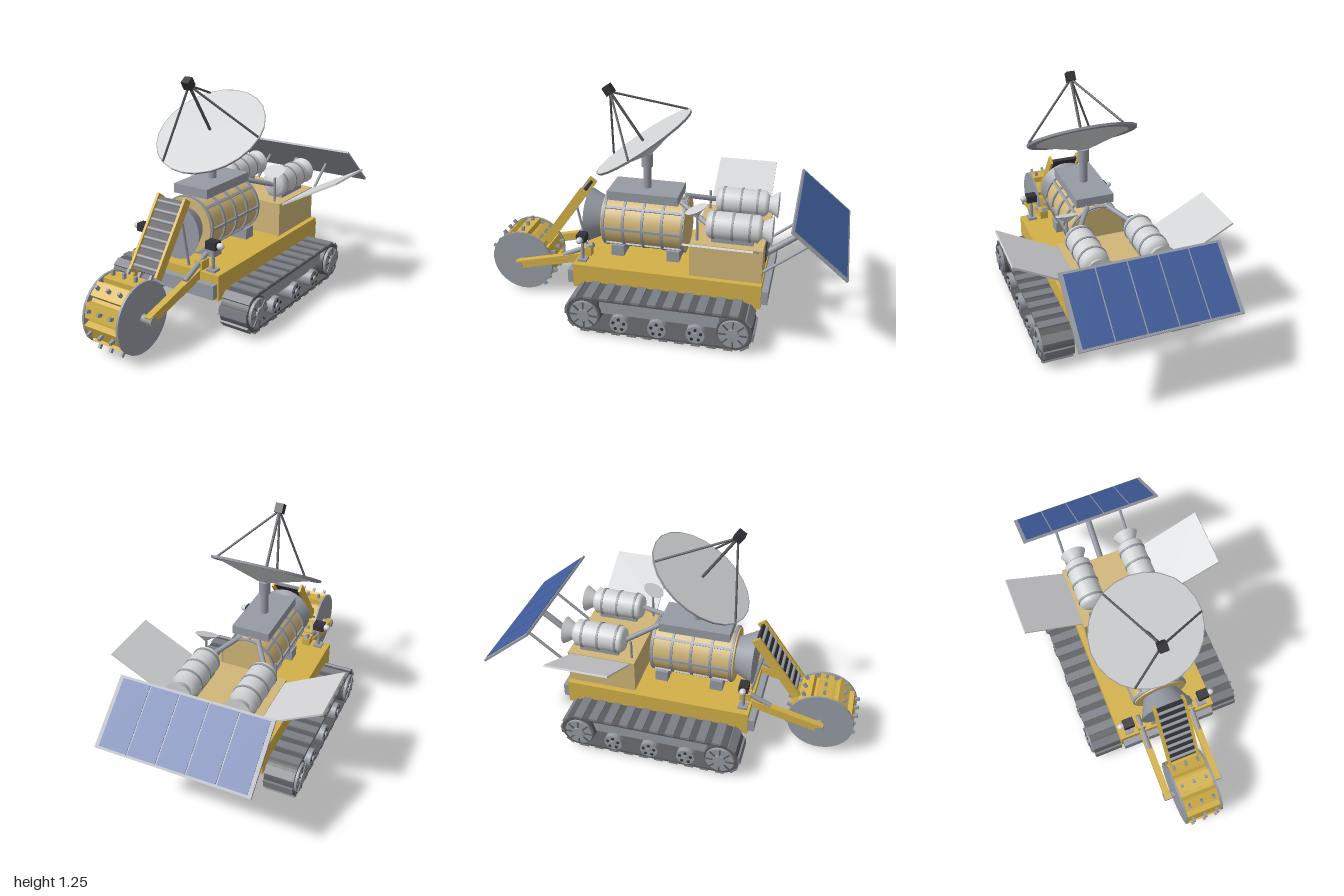
import * as THREE from 'three';

const mat = (name, color) => Object.assign(new THREE.MeshStandardMaterial({ color }), { name });
const V = (x, y, z) => new THREE.Vector3(x, y, z);

export function createModel() {
  const yellow = mat('yellow paint', 0xd2b048), tan = mat('tan paint', 0xd0b678);
  const steel = mat('steel', 0x969aa3), light = mat('light metal', 0xd2d3d5);
  const dark = mat('dark rubber', 0x5a5b5e), black = mat('black', 0x333338);
  const blue = mat('solar blue', 0x3f5c9a), pad = mat('track pad', 0x7b7e85);
  const root = new THREE.Group();
  root.name = 'miningRover';

  const add = (name, geo, m, p = [0, 0, 0], r = [0, 0, 0], parent = root) => {
    const mesh = new THREE.Mesh(geo, m);
    mesh.name = name;
    mesh.position.set(...p);
    mesh.rotation.set(...r);
    parent.add(mesh);
    return mesh;
  };
  const box = (name, m, size, p, r, parent) => add(name, new THREE.BoxGeometry(...size), m, p, r, parent);
  const cyl = (name, m, rt, rb, h, p, r, n = 24, parent) =>
    add(name, new THREE.CylinderGeometry(rt, rb, h, n), m, p, r, parent);
  const X = [0, 0, -Math.PI / 2], Z = [Math.PI / 2, 0, 0];
  // round bar between two points
  const rod = (name, m, a, b, r, n = 10) => {
    const d = b.clone().sub(a);
    const mesh = cyl(name, m, r, r, d.length(), a.clone().lerp(b, 0.5).toArray(), undefined, n);
    mesh.quaternion.setFromUnitVectors(V(0, 1, 0), d.normalize());
    return mesh;
  };
  // square beam in a plane of constant x, between two [y, z] points
  const beam = (name, m, x, [y0, z0], [y1, z1], w, h) =>
    box(name, m, [w, h, Math.hypot(y1 - y0, z1 - z0)], [x, (y0 + y1) / 2, (z0 + z1) / 2],
      [-Math.atan2(y1 - y0, z1 - z0), 0, 0]);

  // chassis
  box('chassis', yellow, [0.56, 0.135, 1.02], [0, 0.255, -0.07]);
  box('frontBumper', steel, [0.54, 0.075, 0.035], [0, 0.24, 0.457]);
  box('rearBumper', steel, [0.53, 0.075, 0.035], [0, 0.245, -0.597]);

  // tracks
  const zf = 0.33, zb = -0.465, cy = 0.125, L = zf - zb;
  const loop = (P, r) => {
    P.absarc(zf, cy, r, -Math.PI / 2, Math.PI / 2, false);
    P.absarc(zb, cy, r, Math.PI / 2, Math.PI * 1.5, false);
    P.closePath();
    return P;
  };
  const beltShape = loop(new THREE.Shape(), 0.1);
  beltShape.holes.push(loop(new THREE.Path(), 0.087));
  const beltGeo = new THREE.ExtrudeGeometry(beltShape, { depth: 0.16, bevelEnabled: false, curveSegments: 14 });
  beltGeo.rotateY(-Math.PI / 2).translate(0.08, 0, 0);
  const R = 0.102, arc = Math.PI * R, total = 2 * (L + arc), pads = 26;
  const padGeo = new THREE.BoxGeometry(0.162, 0.012, 0.048);
  for (const s of [1, -1]) {
    const x = s * 0.36;
    add('trackBelt', beltGeo, dark, [x, 0, 0]);
    for (let i = 0; i < pads; i++) {
      let d = i * total / pads, z, y, a;
      if (d < L) { z = zb + d; y = cy + R; a = 0; }
      else if (d < L + arc) { a = (d - L) / R; z = zf + R * Math.sin(a); y = cy + R * Math.cos(a); }
      else if (d < 2 * L + arc) { a = Math.PI; z = zf - (d - L - arc); y = cy - R; }
      else { a = Math.PI + (d - 2 * L - arc) / R; z = zb + R * Math.sin(a); y = cy + R * Math.cos(a); }
      add('trackPad', padGeo, pad, [x, y, z], [a, 0, 0]);
    }
    box('trackFrame', steel, [0.11, 0.075, 0.64], [x, 0.165, -0.067]);
    for (const z of [zf, zb]) {
      cyl('driveWheel', dark, 0.088, 0.088, 0.15, [x, cy, z], X);
      cyl('wheelDisc', steel, 0.078, 0.078, 0.18, [x, cy, z], X);
      cyl('hubCap', steel, 0.035, 0.035, 0.2, [x, cy, z], X, 12);
      for (let i = 0; i < 8; i++) {
        const a = i * Math.PI / 4;
        box('wheelSpoke', dark, [0.006, 0.045, 0.007],
          [s * 0.452, cy + 0.053 * Math.cos(a), z + 0.053 * Math.sin(a)], [a, 0, 0]);
      }
    }
    for (const z of [0.14, -0.065, -0.27]) {
      cyl('roadRoller', steel, 0.05, 0.05, 0.165, [x, 0.086, z], X);
      cyl('rollerHub', steel, 0.016, 0.016, 0.18, [x, 0.086, z], X, 10);
      for (let i = 0; i < 5; i++) {
        const a = i * Math.PI * 0.4;
        cyl('rollerHole', black, 0.009, 0.009, 0.004,
          [s * 0.444, 0.086 + 0.031 * Math.cos(a), z + 0.031 * Math.sin(a)], X, 8);
      }
    }
  }

  // bucket wheel
  const wy = 0.205, wz = 0.81;
  cyl('wheelCore', yellow, 0.15, 0.15, 0.2, [0, wy, wz], X, 20);
  for (const s of [1, -1]) cyl('wheelSide', steel, 0.18, 0.18, 0.012, [s * 0.104, wy, wz], X, 30);
  cyl('wheelAxle', steel, 0.022, 0.022, 0.345, [0, wy, wz], X, 16);
  for (let i = 0; i < 10; i++) {
    const g = new THREE.Group();
    g.name = 'bucket';
    g.position.set(0, wy, wz);
    g.rotation.x = i * Math.PI / 5;
    box('bucketShell', yellow, [0.196, 0.032, 0.075], [0, 0.158, 0], [0.1, 0, 0], g);
    for (const x of [-0.07, 0, 0.07]) box('bucketTooth', steel, [0.014, 0.035, 0.016], [x, 0.183, 0], undefined, g);
    root.add(g);
  }

  // boom arms, hydraulic rams and conveyor
  for (const s of [1, -1]) {
    beam('boomArm', yellow, s * 0.15, [0.205, 0.825], [0.315, 0.39], 0.036, 0.046);
    box('boomBracket', yellow, [0.045, 0.06, 0.06], [s * 0.15, 0.34, 0.4]);
    rod('boomRam', steel, V(s * 0.15, 0.3, 0.54), V(s * 0.15, 0.385, 0.36), 0.014);
    beam('conveyorRail', yellow, s * 0.082, [0.34, 0.665], [0.675, 0.425], 0.014, 0.05);
    rod('conveyorStrut', steel, V(s * 0.085, 0.57, 0.47), V(s * 0.085, 0.33, 0.42), 0.007, 8);
  }
  beam('conveyorBelt', black, 0, [0.35, 0.658], [0.665, 0.432], 0.15, 0.016);
  for (let i = 0; i < 8; i++) {
    const t = 0.06 + i * 0.125;
    rod('conveyorRung', steel, V(-0.073, 0.357 + 0.315 * t, 0.668 - 0.226 * t),
      V(0.073, 0.357 + 0.315 * t, 0.668 - 0.226 * t), 0.009, 8);
  }

  // headlamps
  for (const s of [1, -1]) {
    cyl('lampPost', steel, 0.009, 0.009, 0.13, [s * 0.22, 0.385, 0.4], undefined, 8);
    box('lampBase', steel, [0.05, 0.012, 0.05], [s * 0.22, 0.329, 0.4]);
    box('lampHousing', black, [0.06, 0.042, 0.05], [s * 0.22, 0.463, 0.4]);
    add('lampLens', new THREE.SphereGeometry(0.018, 14, 10), light, [s * 0.264, 0.463, 0.4]).scale.x = 1.2;
  }

  // processing drum with cage, hopper and cradle
  const dy = 0.495;
  cyl('drum', tan, 0.148, 0.148, 0.46, [0, dy, 0.09], Z, 32);
  for (const z of [0.305, 0.195, 0.088, -0.02, -0.13]) cyl('drumRing', steel, 0.157, 0.157, 0.014, [0, dy, z], Z, 32);
  for (let i = 0; i < 8; i++) {
    const a = i * Math.PI / 4;
    box('drumBar', steel, [0.014, 0.014, 0.44],
      [0.15 * Math.cos(a), dy + 0.15 * Math.sin(a), 0.09], [0, 0, a]);
  }
  cyl('hopper', steel, 0.15, 0.1, 0.1, [0, dy, 0.37], Z, 28);
  for (const z of [0.23, -0.08]) box('drumCradle', steel, [0.26, 0.065, 0.07], [0, 0.352, z]);
  box('mastPlatform', steel, [0.21, 0.05, 0.39], [0, 0.67, 0.095]);

  // antenna mast and main dish
  cyl('mast', steel, 0.022, 0.022, 0.15, [0, 0.76, 0.09], undefined, 16);
  cyl('mastJoint', steel, 0.031, 0.031, 0.075, [0, 0.855, 0.09], undefined, 16);
  const dish = new THREE.Group();
  dish.name = 'mainDish';
  dish.position.set(0, 0.96, 0.112);
  dish.rotation.x = 0.602;
  root.add(dish);
  cyl('dishBowl', light, 0.297, 0.03, 0.075, [0, -0.0385, 0], undefined, 24, dish);
  cyl('dishRim', steel, 0.302, 0.298, 0.012, [0, -0.0075, 0], undefined, 24, dish);
  box('dishFeed', black, [0.045, 0.05, 0.045], [0, 0.322, 0], undefined, dish);
  cyl('feedRod', dark, 0.008, 0.008, 0.31, [0, 0.155, 0], undefined, 8, dish);
  for (let i = 0; i < 3; i++) {
    const a = i * Math.PI * 2 / 3;
    dish.add(rod('feedStrut', dark, V(0, 0.31, 0), V(0.295 * Math.cos(a), 0, 0.295 * Math.sin(a)), 0.006, 8));
  }

  // rear equipment housing
  box('rearHousing', tan, [0.5, 0.19, 0.38], [0, 0.415, -0.385]);
  box('rearGrille', black, [0.22, 0.1, 0.008], [0, 0.425, -0.577]);
  for (let i = 0; i < 4; i++) box('grilleSlat', dark, [0.21, 0.006, 0.006], [0, 0.39 + i * 0.023, -0.582]);

  // tanks, feed pipes and radiator wings
  for (const s of [1, -1]) {
    const x = s * 0.16, ty = 0.59;
    const profile = [[0, -0.15], [0.045, -0.147], [0.073, -0.125], [0.073, 0.125], [0.06, 0.143], [0, 0.155]];
    add('tank', new THREE.LatheGeometry(profile.map(p => new THREE.Vector2(...p)), 24), light, [x, ty, -0.415], Z);
    for (const z of [-0.5, -0.41, -0.31]) cyl('tankBand', steel, 0.077, 0.077, 0.012, [x, ty, z], Z);
    cyl('tankNozzle', light, 0.04, 0.074, 0.055, [x, ty, -0.585], Z);
    box('tankSaddle', steel, [0.09, 0.04, 0.22], [x, 0.525, -0.41]);
    rod('feedPipe', steel, V(x, 0.59, -0.27), V(s * 0.05, 0.645, -0.11), 0.014, 12);
    box('radiatorWing', light, [0.366, 0.01, 0.335], [s * 0.411, 0.588, -0.388], [0, 0, s * 0.5]);
    cyl('sensorPost', steel, 0.007, 0.007, 0.12, [s * 0.2, 0.56, -0.225], undefined, 8);
  }

  // small dish
  cyl('smallDishPost', steel, 0.007, 0.007, 0.06, [0.2, 0.64, -0.225], undefined, 8);
  cyl('smallDish', light, 0.06, 0.006, 0.035, [0.2, 0.672, -0.225], [0.42, 0, 0], 20);

  // solar panel and its struts
  const panel = new THREE.Group();
  panel.name = 'solarPanel';
  panel.position.set(0, 0.597, -0.857);
  panel.rotation.x = -0.69;
  root.add(panel);
  box('panelFrame', steel, [0.81, 0.012, 0.365], [0, 0, 0], undefined, panel);
  for (let i = -2; i <= 2; i++) box('solarCell', blue, [0.148, 0.006, 0.34], [i * 0.155, 0.006, 0], undefined, panel);
  rod('panelMast', steel, V(0, 0.37, -0.57), V(0, 0.58, -0.845), 0.018, 14);
  for (const s of [1, -1]) rod('panelStrut', steel, V(s * 0.2, 0.36, -0.57), V(s * 0.2, 0.58, -0.845), 0.008, 8);

  return root;
}
